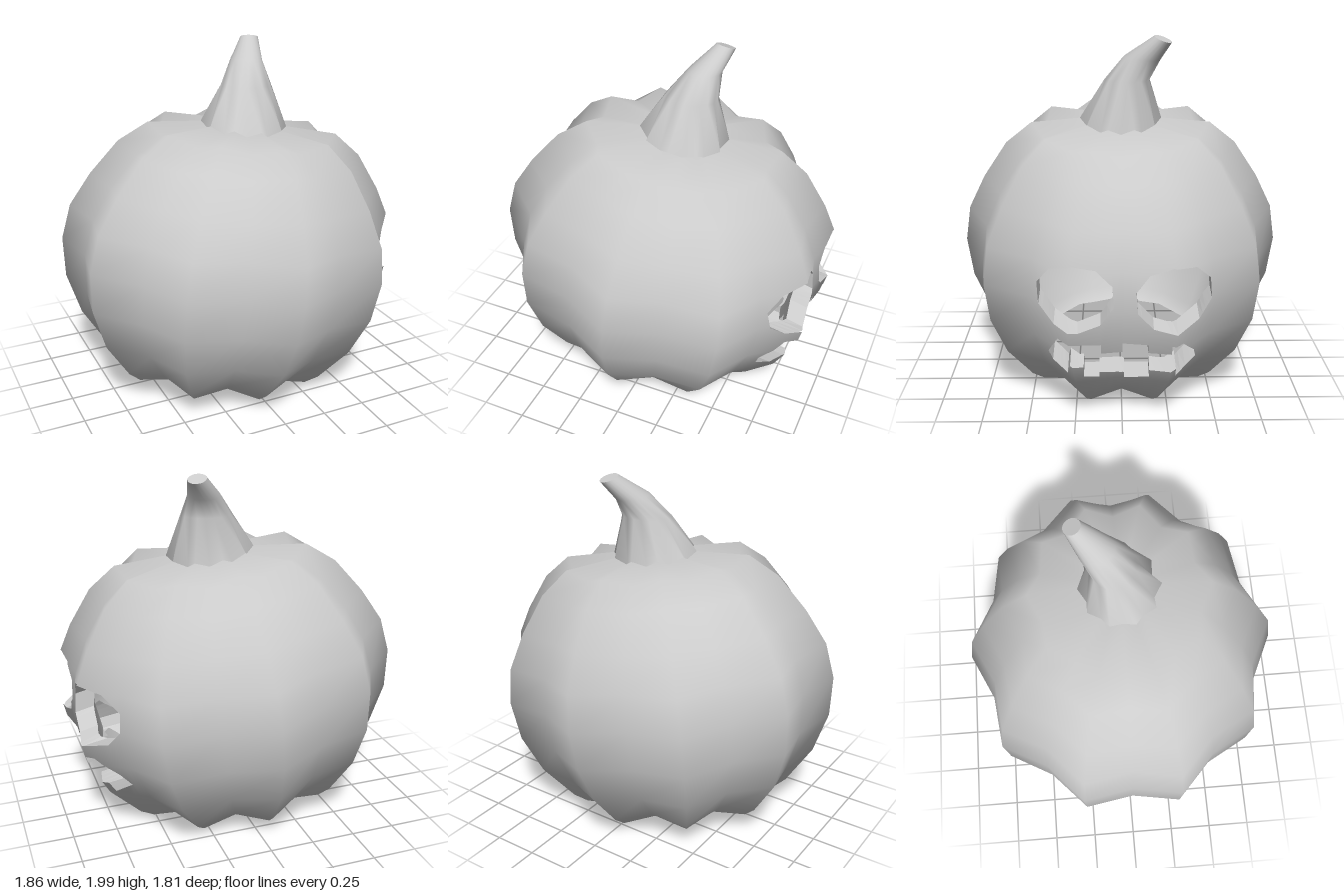
import * as THREE from 'three';

const COLS = 20, TILT = 0.11;
// rings from the open bottom to the stem: ridge radius, ridge height, valley radius, valley height
const RINGS = [
  [0.61, 0, 0.55, 0.05], [0.69, 0.06, 0.62, 0.1], [0.86, 0.27, 0.78, 0.28], [0.963, 0.5, 0.87, 0.5],
  [0.995, 0.73, 0.895, 0.73], [0.96, 0.935, 0.86, 0.93], [0.856, 1.127, 0.77, 1.11],
  [0.71, 1.327, 0.635, 1.29], [0.55, 1.445, 0.49, 1.4], [0.25, 1.47, 0.21, 1.435],
];
const TOP = RINGS.length - 1;

// leaning pumpkin frame: radius, angle, height along the axis -> position
function place(r, angle, v) {
  const u = r * Math.cos(angle), c = Math.cos(TILT), s = Math.sin(TILT);
  return new THREE.Vector3(u * c + v * s - 0.065, 0.07 - u * s + v * c, 0.91 * r * Math.sin(angle));
}

// one wall surface (outer or inner), sampled at column a and ring t
function makeSurface(inner) {
  const vertex = (i, j) => {
    const ridge = Math.abs(i % 2) === 1;
    let [r, v] = ridge ? RINGS[j] : RINGS[j].slice(2);
    if (inner) {
      r = j === TOP ? 0.01 : r - (j < 2 ? 0.06 : 0.11);
      v = j < 2 ? v + 0.02 : 0.74 + (v - 0.74) * 0.87;
    }
    return place(r, (i * Math.PI * 2) / COLS, v);
  };
  const normal = (i, j) => {
    const dt = vertex(i, Math.min(j + 1, TOP)).sub(vertex(i, Math.max(j - 1, 0)));
    const da = vertex(i + 1, j).sub(vertex(i - 1, j));
    return dt.cross(da).normalize().multiplyScalar(inner ? -1 : 1);
  };
  const blend = (f) => (a, t) => {
    const i = Math.floor(a), j = Math.min(Math.max(Math.floor(t), 0), TOP - 1);
    return f(i, j).lerp(f(i + 1, j), a - i).lerp(f(i, j + 1).lerp(f(i + 1, j + 1), a - i), t - j);
  };
  const point = blend(vertex);
  const bisect = (lo, hi, f, target) => {
    for (let k = 0; k < 30; k++) {
      const m = (lo + hi) / 2;
      if (f(m) < target) lo = m; else hi = m;
    }
    return (lo + hi) / 2;
  };
  // column and ring of the face point at a given z and y
  const locate = ([z, y]) => {
    let a = 0, t = 4;
    for (let k = 0; k < 8; k++) {
      t = bisect(0, 8, (q) => point(a, q).y, y);
      a = bisect(-4, 4, (q) => point(q, t).z, z);
    }
    return [a, t];
  };
  return { point, normal: blend(normal), locate, inner };
}

// keep the part of a convex polygon with sign * t >= sign * limit
function clip(poly, limit, sign) {
  const out = [];
  poly.forEach((p, k) => {
    const q = poly[(k + 1) % poly.length];
    const dp = sign * (p[1] - limit), dq = sign * (q[1] - limit);
    if (dp >= 0) out.push(p);
    if (dp * dq < 0) {
      const f = dp / (dp - dq);
      out.push([p[0] + (q[0] - p[0]) * f, p[1] + (q[1] - p[1]) * f]);
    }
  });
  return out;
}

function toGeometry(pos, nor) {
  const g = new THREE.BufferGeometry();
  g.setAttribute('position', new THREE.Float32BufferAttribute(pos, 3));
  if (nor) g.setAttribute('normal', new THREE.Float32BufferAttribute(nor, 3));
  else g.computeVertexNormals();
  return g;
}

// wall surface cut into column slabs around the holes
function shellGeometry(surf, holes) {
  const pos = [], nor = [];
  const edges = holes.flatMap((h) => h.map((p, k) => [p, h[(k + 1) % h.length]]));
  const cuts = holes.flat().map((p) => p[0]);
  for (let i = -COLS / 2; i <= COLS / 2; i++) cuts.push(i);
  cuts.sort((p, q) => p - q);
  const at = ([p, q], a) => p[1] + ((q[1] - p[1]) * (a - p[0])) / (q[0] - p[0]);
  for (let k = 0; k + 1 < cuts.length; k++) {
    const a0 = cuts[k], a1 = cuts[k + 1], mid = (a0 + a1) / 2;
    if (a1 - a0 < 1e-6) continue;
    const lines = edges.filter(([p, q]) => (p[0] < mid) !== (q[0] < mid));
    lines.sort((e, f) => at(e, mid) - at(f, mid));
    const bounds = [[[a0, 0], [a1, 0]], ...lines, [[a0, TOP], [a1, TOP]]];
    for (let b = 0; b < bounds.length; b += 2) {
      const lo = bounds[b], hi = bounds[b + 1];
      const quad = [[a0, at(lo, a0)], [a1, at(lo, a1)], [a1, at(hi, a1)], [a0, at(hi, a0)]];
      for (let j = 0; j < TOP; j++) {
        const poly = clip(clip(quad, j, 1), j + 1, -1);
        for (let n = 1; n + 1 < poly.length; n++) {
          const tri = surf.inner ? [poly[0], poly[n], poly[n + 1]] : [poly[0], poly[n + 1], poly[n]];
          for (const [a, t] of tri) {
            pos.push(...surf.point(a, t).toArray());
            nor.push(...surf.normal(a, t).normalize().toArray());
          }
        }
      }
    }
  }
  return toGeometry(pos, nor);
}

// strip of flat quads joining an outer outline to an inner one
function bridgeGeometry(outer, inner) {
  const pos = [];
  outer.forEach((p, k) => {
    const n = (k + 1) % outer.length;
    for (const v of [p, outer[n], inner[n], p, inner[n], inner[k]]) pos.push(...v.toArray());
  });
  return toGeometry(pos);
}

// outline on a surface, each edge subdivided so it follows the ribs
function trace(surf, hole) {
  return hole.flatMap(([a, t], k) => {
    const [a2, t2] = hole[(k + 1) % hole.length];
    return [0, 0.25, 0.5, 0.75].map((f) => surf.point(a + (a2 - a) * f, t + (t2 - t) * f));
  });
}

// ribbed base sweeping up to a bent, narrow tip
function stemGeometry() {
  const sections = [ // centre x, y, z, radius x, radius z, tip slope
    [0.125, 1.75, -0.035, 0.145, 0.125, 0], [0.165, 1.87, -0.115, 0.09, 0.1, 0.1],
    [0.238, 1.978, -0.225, 0.052, 0.047, 0.35], [0.238, 1.978, -0.225, 0.052, 0.047, 0.35],
    [0.238, 1.978, -0.225, 0, 0, 0],
  ];
  const pos = [], idx = [];
  for (let s = -1; s < sections.length; s++) {
    for (let i = 0; i < COLS; i++) {
      const w = (i * Math.PI * 2) / COLS;
      if (s < 0) {
        const [r, v, r2, v2] = RINGS[TOP];
        pos.push(...(i % 2 ? place(r, w, v) : place(r2, w, v2)).toArray());
      } else {
        const [x, y, z, rx, rz, k] = sections[s];
        const dx = rx * Math.cos(w), dz = rz * Math.sin(w);
        pos.push(x + dx, y + k * (dz - dx * 0.5), z + dz);
      }
      if (s < 0 || s === 3) continue;
      const n = (s + 1) * COLS, j = (i + 1) % COLS;
      idx.push(n - COLS + i, n + i, n + j, n - COLS + i, n + j, n - COLS + j);
    }
  }
  const g = new THREE.BufferGeometry();
  g.setAttribute('position', new THREE.Float32BufferAttribute(pos, 3));
  g.setIndex(idx);
  g.computeVertexNormals();
  return g;
}

export function createModel() {
  const group = new THREE.Group();
  const material = new THREE.MeshStandardMaterial({ color: 0xcccccc });
  const thin = new THREE.MeshStandardMaterial({ color: 0xcccccc, side: THREE.DoubleSide });
  const add = (name, geometry, mat = material) => {
    const mesh = new THREE.Mesh(geometry, mat);
    mesh.name = name;
    group.add(mesh);
  };

  // face openings as z, y outlines
  const eye = (z, y) => Array.from({ length: 10 }, (_, k) => {
    const w = ((k + 0.4) * Math.PI) / 5;
    return [z + 0.203 * Math.cos(w), y + 0.178 * Math.sin(w)];
  });
  const mouth = [
    [0.386, 0.41], [0.33, 0.535], [0.11, 0.51], [0.11, 0.455], [0, 0.455], [0, 0.51], [-0.13, 0.51],
    [-0.13, 0.46], [-0.25, 0.46], [-0.25, 0.51], [-0.31, 0.51], [-0.375, 0.42], [-0.39, 0.355],
    [-0.28, 0.27], [-0.28, 0.33], [-0.14, 0.33], [-0.14, 0.28], [-0.01, 0.26], [-0.01, 0.3],
    [0.12, 0.315], [0.12, 0.28], [0.2, 0.29], [0.2, 0.36], [0.27, 0.37], [0.285, 0.3], [0.365, 0.35],
  ];
  const openings = { leftEyeWall: eye(-0.265, 0.757), rightEyeWall: eye(0.24, 0.767), mouthWall: mouth };

  const outer = makeSurface(false), inner = makeSurface(true);
  const outerHoles = Object.values(openings).map((h) => h.map(outer.locate));
  const innerHoles = Object.values(openings).map((h) => h.map(([z, y]) => inner.locate([z, y + 0.025])));

  add('pumpkinSkin', shellGeometry(outer, outerHoles));
  add('pumpkinInside', shellGeometry(inner, innerHoles));
  Object.keys(openings).forEach((name, k) =>
    add(name, bridgeGeometry(trace(outer, outerHoles[k]), trace(inner, innerHoles[k])), thin));

  // scalloped rim of the open bottom
  const rim = (surf) => Array.from({ length: COLS }, (_, i) => surf.point(i, 0));
  add('bottomRim', bridgeGeometry(rim(outer), rim(inner)), thin);
  add('stem', stemGeometry());
  return group;
}
